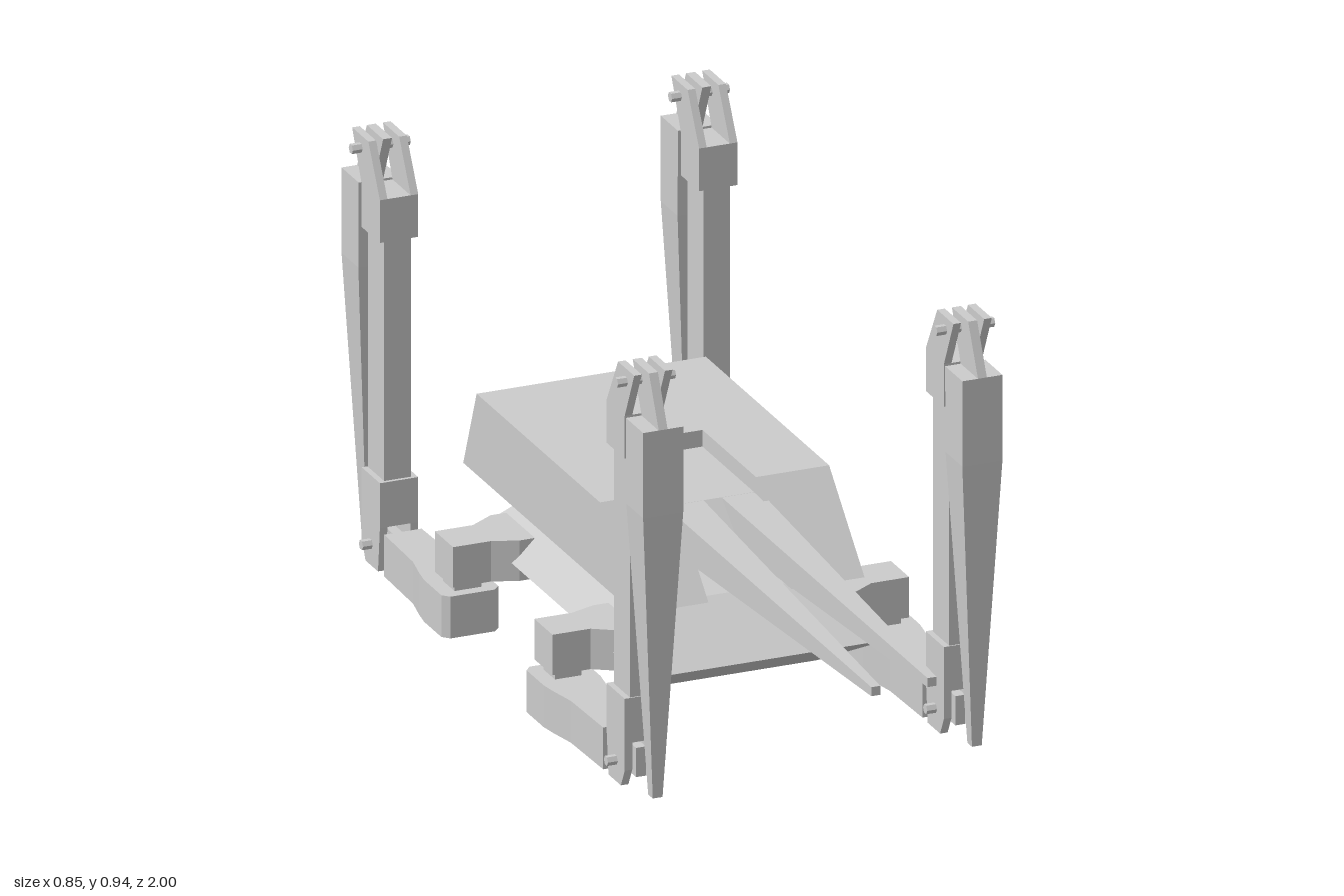
import * as THREE from 'three';

const material = new THREE.MeshStandardMaterial({ color: 0xcccccc, flatShading: true });

// Rectangular sections along an axis (0 x, 1 y, 2 z); rows are [t, a0, a1, b0, b1],
// with a and b the next two axes in cyclic order and t increasing.
function loft(axis, rows) {
  const pos = [], index = [];
  for (const [t, a0, a1, b0, b1] of rows) {
    for (const [a, b] of [[a0, b0], [a1, b0], [a1, b1], [a0, b1]]) {
      const p = [0, 0, 0];
      p[axis] = t;
      p[(axis + 1) % 3] = a;
      p[(axis + 2) % 3] = b;
      pos.push(...p);
    }
  }
  for (let r = 0; r < rows.length - 1; r++) {
    for (let i = 0; i < 4; i++) {
      const a = r * 4 + i, b = r * 4 + (i + 1) % 4;
      index.push(a, b, b + 4, a, b + 4, a + 4);
    }
  }
  const e = (rows.length - 1) * 4;
  index.push(0, 2, 1, 0, 3, 2, e, e + 1, e + 2, e, e + 2, e + 3);
  const g = new THREE.BufferGeometry();
  g.setAttribute('position', new THREE.Float32BufferAttribute(pos, 3));
  g.setIndex(index);
  const flat = g.toNonIndexed();
  flat.computeVertexNormals();
  return flat;
}

const box = (x0, x1, y0, y1, z0, z1) => loft(0, [[x0, y0, y1, z0, z1], [x1, y0, y1, z0, z1]]);

function extrude(points, depth) {
  const shape = new THREE.Shape(points.map(([x, y]) => new THREE.Vector2(x, y)));
  const g = new THREE.ExtrudeGeometry(shape, { depth, bevelEnabled: false });
  return g.index ? g.toNonIndexed() : g;
}

// Side profile of [z, y] points, spanning x0 to x1
const slab = (pts, x0, x1) =>
  extrude(pts.map(([z, y]) => [-z, y]), x1 - x0).rotateY(Math.PI / 2).translate(x0, 0, 0);

// Plan outline of [x, z] points, spanning y0 to y1
const plan = (pts, y0, y1) =>
  extrude(pts.map(([x, z]) => [x, -z]), y1 - y0).rotateX(-Math.PI / 2).translate(0, y0, 0);

// Reflects a geometry and keeps its faces outward
function reflect(g, sx, sz) {
  g.scale(sx, 1, sz);
  if (sz < 0) g.translate(0, 0, -0.425);
  if (sx * sz < 0) {
    const p = g.attributes.position;
    const a = new THREE.Vector3(), b = new THREE.Vector3();
    for (let i = 0; i < p.count; i += 3) {
      a.fromBufferAttribute(p, i + 1);
      b.fromBufferAttribute(p, i + 2);
      p.setXYZ(i + 1, b.x, b.y, b.z);
      p.setXYZ(i + 2, a.x, a.y, a.z);
    }
  }
  g.deleteAttribute('uv');
  g.computeVertexNormals();
  return g;
}

function add(group, name, geometry) {
  const mesh = new THREE.Mesh(geometry, material);
  mesh.name = name;
  group.add(mesh);
}

function createLeg(name, sx, sz) {
  const leg = new THREE.Group();
  leg.name = name;
  const C = 0.358; // centre of the leg in x
  const part = (n, g) => add(leg, n, reflect(g, sx, sz));

  // Hip, flaring toward the hull, with a peg down to the thigh
  part('hip', loft(0, [
    [0.17, 0.11, 0.2, -0.02, 0.13], [0.26, 0.11, 0.2, -0.02, 0.13],
    [0.315, 0.11, 0.2, 0, 0.095], [0.4, 0.11, 0.2, 0, 0.095]]));
  part('hipPeg', box(C - 0.03, C + 0.03, 0.08, 0.12, 0.02, 0.08));

  // Thigh, wider under the hip
  const half = [[0.05, -0.005], [0.064, 0.01], [0.064, 0.1], [0.058, 0.14], [0.046, 0.2], [0.042, 0.36]];
  const outline = [
    ...half.map(([x, z]) => [C + x, z]),
    ...half.map(([x, z]) => [C - x, z]).reverse()];
  part('thigh', plan(outline, 0, 0.093));
  part('kneeTongue', box(C - 0.011, C + 0.011, 0.015, 0.08, 0.35, 0.46));

  // Shin column between its lower and upper brackets
  part('shin', box(C - 0.03, C + 0.03, 0.19, 0.74, 0.388, 0.472));
  part('lowerBracket', box(C - 0.043, C + 0.043, 0.1, 0.2, 0.38, 0.475));
  part('upperBracket', box(C - 0.043, C + 0.043, 0.735, 0.83, 0.38, 0.475));

  // Fork tines at both ends of the shin
  for (const x of [C - 0.043, C + 0.026]) {
    part('lowerTine', slab([[0.38, 0.1], [0.39, 0], [0.455, 0], [0.475, 0.04], [0.475, 0.1]], x, x + 0.017));
    part('upperTine', slab([[0.38, 0.83], [0.44, 0.938], [0.525, 0.938], [0.475, 0.83]], x, x + 0.017));
  }

  // Blade foot and the tongue that hangs it from the upper fork
  part('blade', loft(1, [
    [0, 0.523, 0.547, C - 0.011, C + 0.011],
    [0.64, 0.488, 0.576, C - 0.045, C + 0.045],
    [0.83, 0.486, 0.576, C - 0.045, C + 0.045]]));
  part('bladeTongue', slab([[0.486, 0.83], [0.44, 0.938], [0.525, 0.938], [0.576, 0.83]], C - 0.01, C + 0.01));

  // Joint pins
  for (const [y, z] of [[0.048, 0.428], [0.91, 0.481]]) {
    part('jointPin', new THREE.CylinderGeometry(0.011, 0.011, 0.13, 6).toNonIndexed()
      .rotateZ(Math.PI / 2).translate(C, y, z));
  }
  return leg;
}

export function createModel() {
  const model = new THREE.Group();
  model.name = 'walker';

  // Lower hull, widest at mid height
  add(model, 'hull', loft(1, [
    [0.057, -0.53, 0.115, -0.185, 0.185],
    [0.15, -0.61, 0.28, -0.275, 0.275],
    [0.24, -0.53, 0.115, -0.185, 0.185]]));

  // Turret in two sides and a back section, leaving a slot for the guns
  const turret = new THREE.Group();
  turret.name = 'turret';
  model.add(turret);
  const side = [[0.195, 0.26], [0.01, 0.44], [-0.635, 0.44], [-0.705, 0.26]];
  add(turret, 'turretLeft', slab(side, 0.093, 0.257));
  add(turret, 'turretRight', slab(side, -0.257, -0.093));
  add(turret, 'turretBack', slab([[-0.27, 0.26], [-0.27, 0.44], side[2], side[3]], -0.093, 0.093));

  // Gun mount and the two tapering guns
  add(turret, 'gunMount', slab([[-0.27, 0.315], [-0.27, 0.403], [0, 0.403], [0.1, 0.315]], -0.093, 0.093));
  for (const s of [-1, 1]) {
    const gun = loft(2, [
      [-0.01, -0.043, 0.043, 0.315, 0.403],
      [1, -0.01, 0.01, 0.35, 0.37]]);
    add(turret, s > 0 ? 'leftGun' : 'rightGun', gun.translate(s * 0.063, 0, 0));
  }

  for (const [sx, x] of [[1, 'Left'], [-1, 'Right']]) {
    model.add(createLeg('front' + x + 'Leg', sx, 1));
    model.add(createLeg('rear' + x + 'Leg', sx, -1));
  }
  return model;
}
